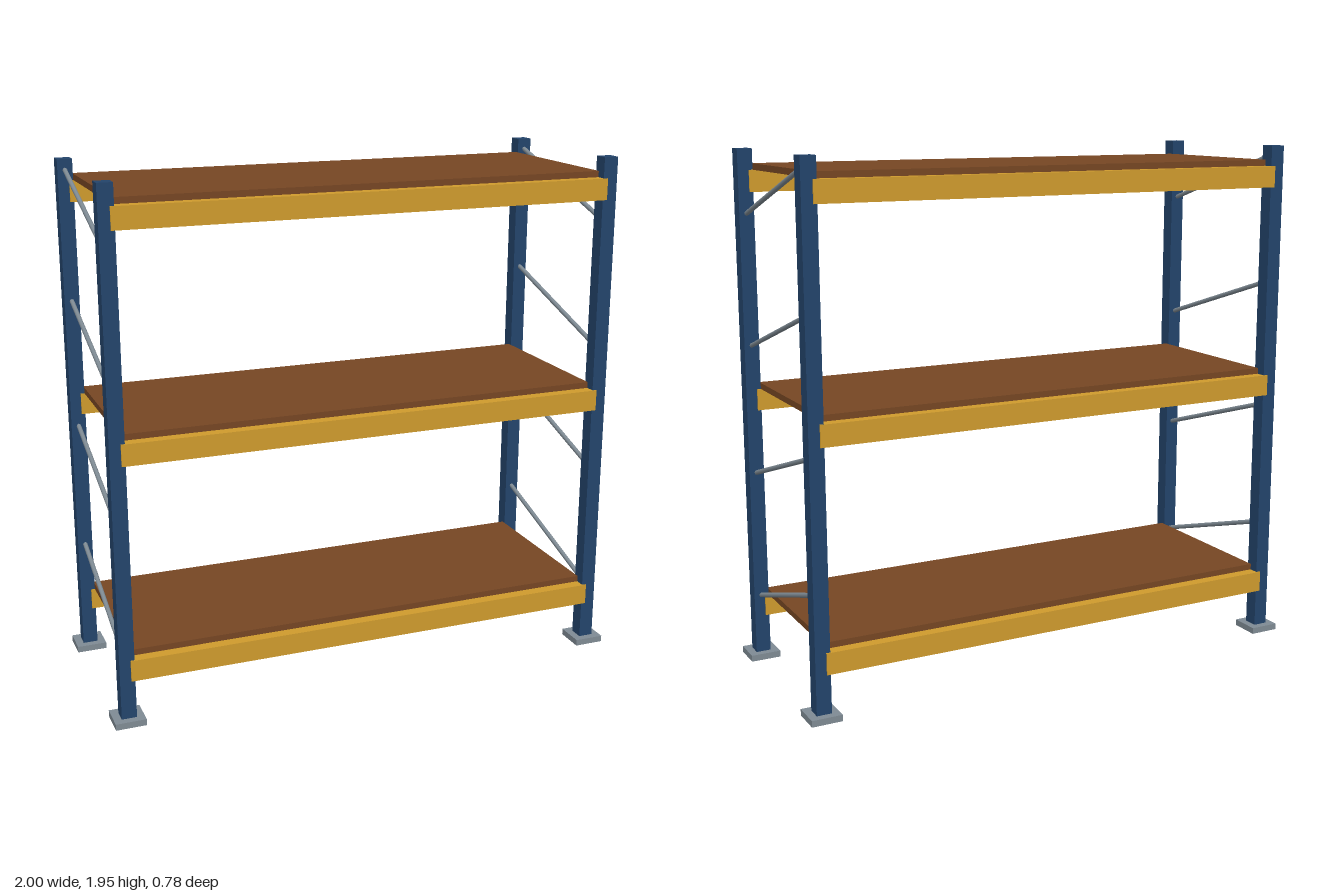
import * as THREE from 'three';

const paint = (name, color) => {
  const m = new THREE.MeshStandardMaterial({ color });
  m.name = name;
  return m;
};

export function createModel() {
  const blue = paint('uprightBlue', 0x23446b);
  const yellow = paint('beamYellow', 0xcf9b2d);
  const brown = paint('deckBrown', 0x764623);
  const grey = paint('steelGrey', 0x7f8b94);

  const rack = new THREE.Group();
  rack.name = 'shelvingRack';

  const box = (name, mat, w, h, d, x, y, z) => {
    const mesh = new THREE.Mesh(new THREE.BoxGeometry(w, h, d), mat);
    mesh.name = name;
    mesh.position.set(x, y, z);
    rack.add(mesh);
  };

  const postX = 0.943, postZ = 0.334;

  for (const sx of [-1, 1]) {
    const side = sx > 0 ? 'left' : 'right';

    // Uprights standing on foot plates
    for (const sz of [-1, 1]) {
      const end = sz > 0 ? 'Front' : 'Back';
      box(`${side}${end}Upright`, blue, 0.056, 1.948, 0.056, sx * postX, 0.976, sz * postZ);
      box(`${side}${end}FootPlate`, grey, 0.114, 0.024, 0.114, sx * postX, 0.012, sz * postZ);
    }

    // Diagonal bracing, rising from front to back
    for (let i = 0; i < 4; i++) {
      const y = 0.244 + i * 0.488;
      const from = new THREE.Vector3(sx * postX, y, postZ);
      const to = new THREE.Vector3(sx * postX, y + 0.21, -postZ);
      const dir = to.clone().sub(from);
      const brace = new THREE.Mesh(new THREE.CylinderGeometry(0.009, 0.009, dir.length(), 8), grey);
      brace.name = `${side}Brace${i + 1}`;
      brace.position.copy(from).lerp(to, 0.5);
      brace.quaternion.setFromUnitVectors(new THREE.Vector3(0, 1, 0), dir.normalize());
      rack.add(brace);
    }
  }

  // Shelf levels: two beams carrying a deck panel
  [0.25, 1.061, 1.873].forEach((top, i) => {
    box(`frontBeam${i + 1}`, yellow, 1.86, 0.08, 0.066, 0, top - 0.04, postZ);
    box(`backBeam${i + 1}`, yellow, 1.86, 0.08, 0.066, 0, top - 0.04, -postZ);
    box(`deck${i + 1}`, brown, 1.83, 0.023, 0.648, 0, top + 0.0115, 0);
  });

  return rack;
}
